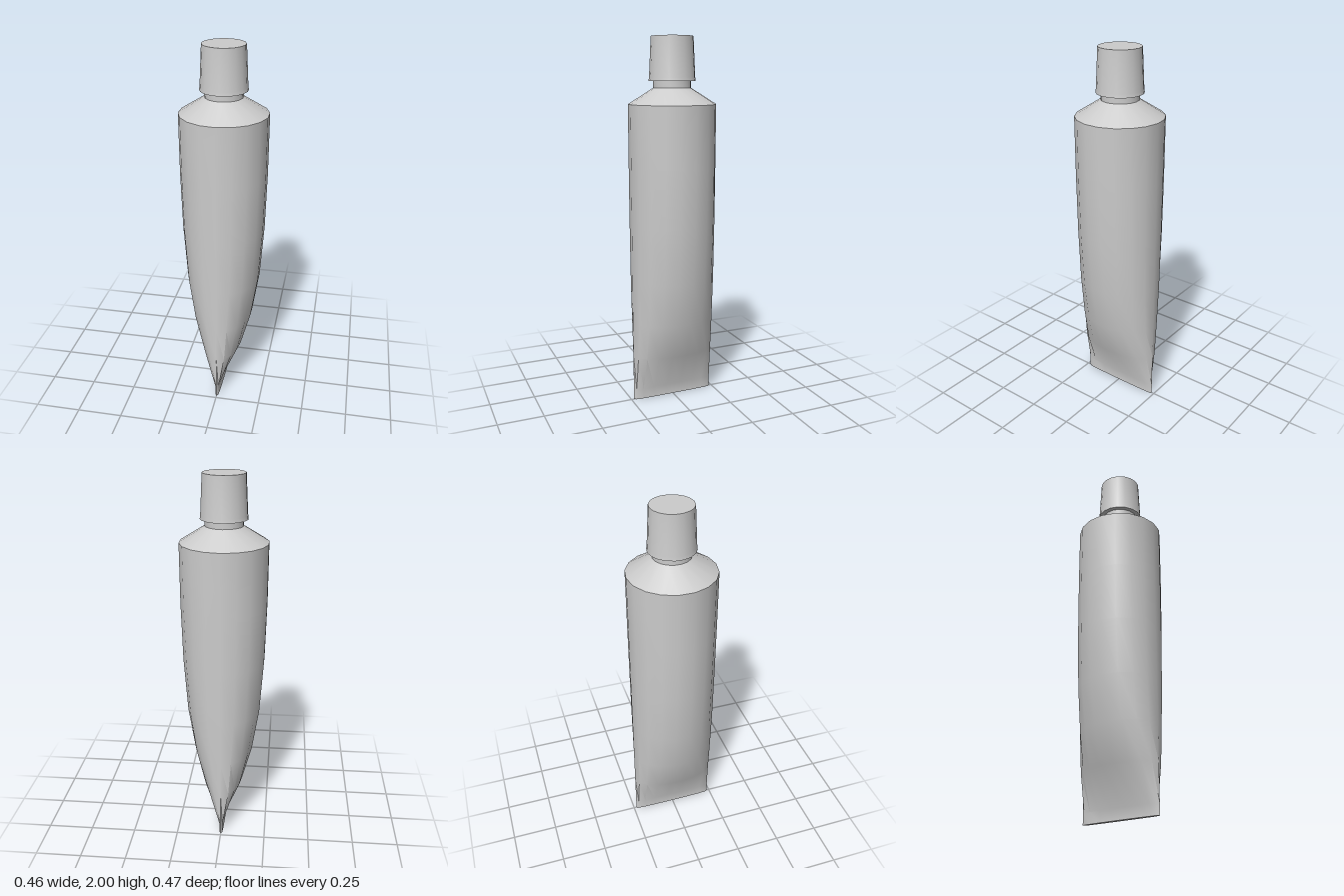
import * as THREE from 'three';
import { toCreasedNormals } from 'three/addons/utils/BufferGeometryUtils.js';

const SIDES = 18;
const RADIUS = 0.235;
const material = new THREE.MeshStandardMaterial({ color: 0xcccccc });

function lathe(profile) {
  return new THREE.LatheGeometry(profile.map(([r, y]) => new THREE.Vector2(r, y)), SIDES);
}

function part(name, geometry) {
  const mesh = new THREE.Mesh(toCreasedNormals(geometry, 0.65), material);
  mesh.name = name;
  return mesh;
}

// Squeezed body: a cylinder whose x width narrows to a flat crimp at the bottom.
// Rows are [height, x half width, roundness], roundness 1 = ellipse, less = boxier.
const ROWS = [
  [0, 0.013, 0.35],
  [0.06, 0.013, 0.35],
  [0.26, 0.11, 0.9],
  [0.46, 0.165, 1],
  [0.7, 0.203, 1],
  [1.0, 0.224, 1],
  [1.32, 0.233, 1],
  [1.65, 0.235, 1],
];

function bodyGeometry() {
  const geometry = lathe([[0, 0], ...ROWS.map(([y]) => [RADIUS, y])]);
  const pos = geometry.attributes.position;
  for (let i = 0; i < pos.count; i++) {
    const s = pos.getX(i) / RADIUS;
    const [, width, power] = ROWS.find(([y]) => Math.abs(y - pos.getY(i)) < 1e-4);
    // Points on the centre plane stay there
    const x = Math.abs(s) < 1e-4 ? 0 : Math.sign(s) * Math.abs(s) ** power * width;
    pos.setX(i, x);
  }
  return geometry;
}

export function createModel() {
  const group = new THREE.Group();
  group.name = 'squeezeTube';

  group.add(part('body', bodyGeometry()));

  // Sloping shoulder up to the neck
  group.add(part('shoulder', lathe([[RADIUS, 1.65], [0.1, 1.735]])));

  group.add(part('neck', lathe([[0.1, 1.735], [0.1, 1.775]])));

  // Tapered cap with a thin lip at its lower rim
  group.add(part('cap', lathe([
    [0, 1.77], [0.125, 1.77], [0.122, 1.79], [0.112, 2], [0, 2],
  ])));

  return group;
}
